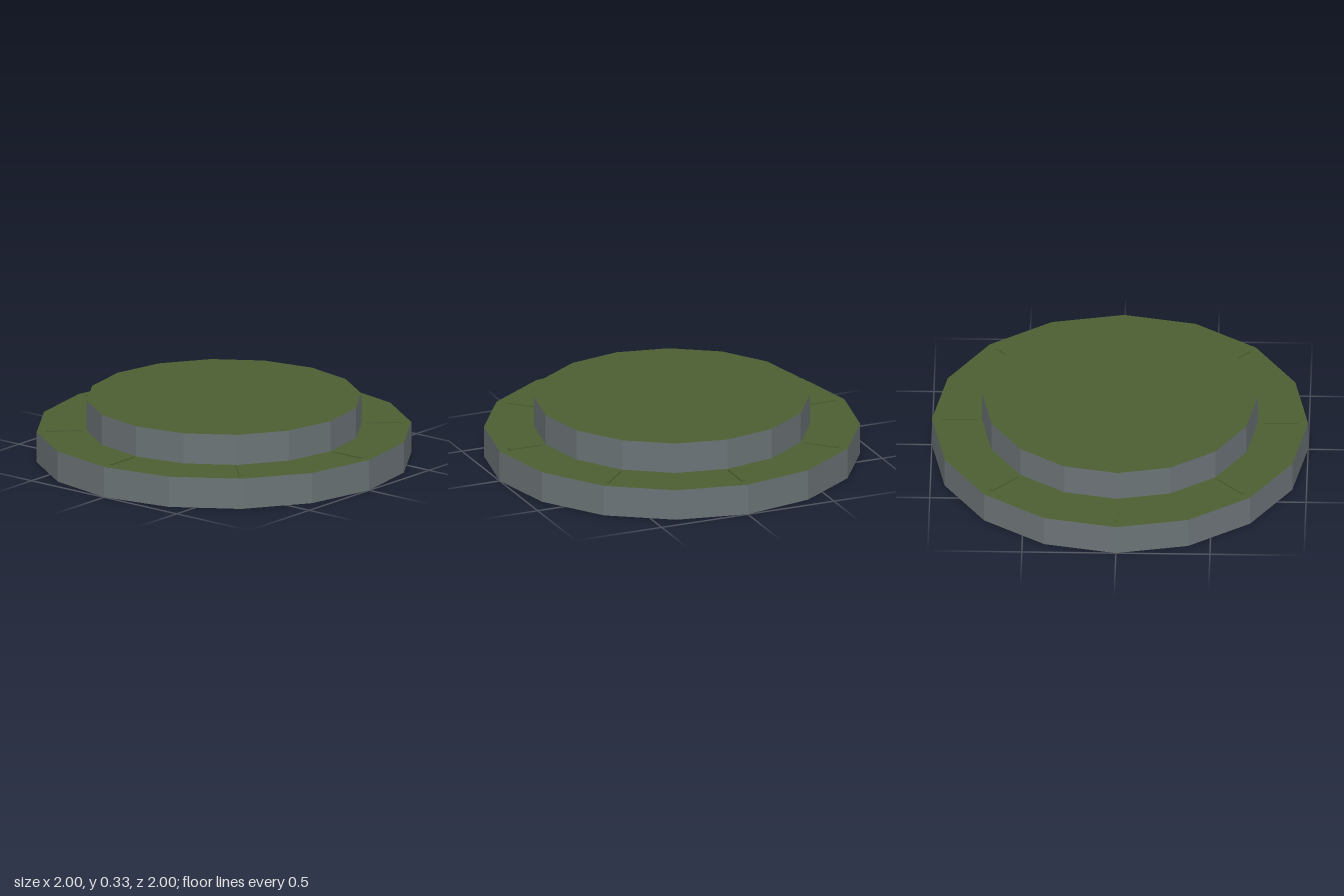
import * as THREE from 'three';

const stone = new THREE.MeshStandardMaterial({ color: 0x6b7376, flatShading: true });
stone.name = 'greyStone';
const grass = new THREE.MeshStandardMaterial({ color: 0x4c5f32, flatShading: true });
grass.name = 'mossGreen';

// Sixteen-sided step with a grey wall and underside and a green top
function makeTier(name, radius, bottom, top) {
  const geometry = new THREE.CylinderGeometry(radius, radius, top - bottom, 16);
  const tier = new THREE.Mesh(geometry, [stone, grass, stone]);
  tier.name = name;
  tier.position.y = (bottom + top) / 2;
  return tier;
}

export function createModel() {
  const model = new THREE.Group();
  model.name = 'roundPlatform';
  model.add(makeTier('lowerTier', 1, 0, 0.167));
  model.add(makeTier('upperTier', 0.733, 0.167, 0.333));

  // Eight thin radial strips around the lower ledge
  const stripGeometry = new THREE.BoxGeometry(0.187, 0.008, 0.02);
  stripGeometry.translate(0.853, 0.17, 0);
  const strips = new THREE.Group();
  strips.name = 'ledgeStrips';
  for (let i = 0; i < 8; i++) {
    const strip = new THREE.Mesh(stripGeometry, grass);
    strip.name = 'ledgeStrip';
    strip.rotation.y = (i * Math.PI) / 4;
    strips.add(strip);
  }
  model.add(strips);
  return model;
}
